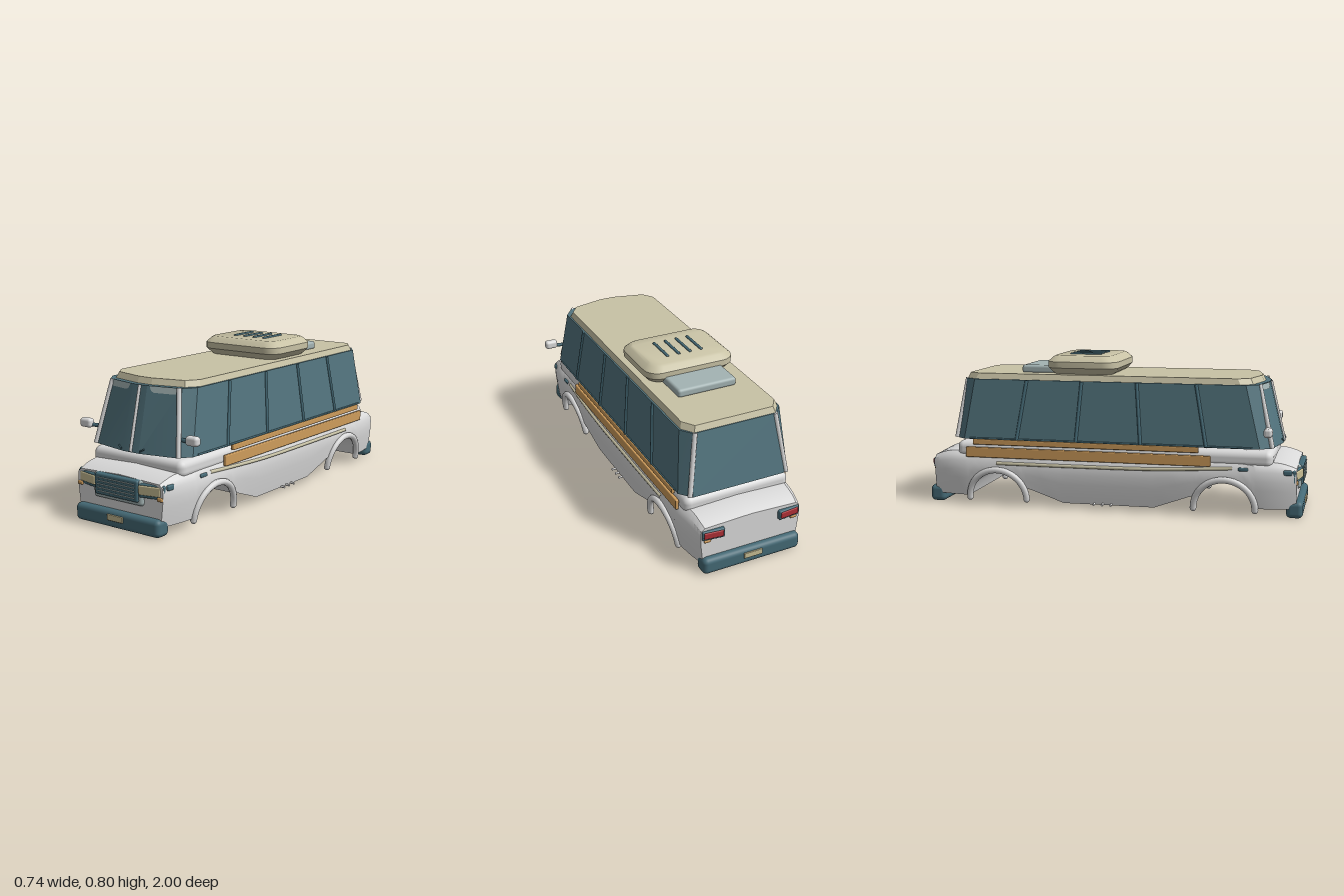
import * as THREE from 'three';
import { toCreasedNormals } from 'three/addons/utils/BufferGeometryUtils.js';
import { RoundedBoxGeometry } from 'three/addons/geometries/RoundedBoxGeometry.js';

const material = (name, color, extra) => Object.assign(new THREE.MeshStandardMaterial({ color, ...extra }), { name });

// Skin a series of closed rings and cap both ends
function loft(rings, crease) {
  const n = rings[0].length, pos = rings.flat().flatMap(p => p.toArray()), tris = [];
  for (let r = 0; r < rings.length - 1; r++) for (let i = 0; i < n; i++) {
    const j = (i + 1) % n, a = r * n, b = a + n;
    tris.push([a + i, a + j, b + j], [a + i, b + j, b + i]);
  }
  const last = (rings.length - 1) * n;
  for (let i = 1; i < n - 1; i++) tris.push([0, i + 1, i], [last, last + i, last + i + 1]);
  // Turn all faces outward, judged by the sign of the enclosed volume
  const v = i => new THREE.Vector3(pos[i * 3], pos[i * 3 + 1], pos[i * 3 + 2]);
  const volume = tris.reduce((s, [a, b, c]) => s + v(a).dot(v(b).cross(v(c))), 0);
  if (volume < 0) tris.forEach(t => t.reverse());
  const g = new THREE.BufferGeometry();
  g.setAttribute('position', new THREE.Float32BufferAttribute(pos, 3));
  g.setIndex(tris.flat());
  return toCreasedNormals(g, crease);
}

// Cabin outline seen from above: bowed front, cut corners
function cabinRing(y, w, front, rear) {
  const k = w / 0.3;
  const half = [[0.05 * k, front], [0.25 * k, front - 0.04], [w, front - 0.1], [w, rear + 0.06], [0.25 * k, rear]];
  const all = [...half, ...half.map(([x, z]) => [-x, z]).reverse()];
  return all.map(([x, z]) => new THREE.Vector3(x, y, z));
}

function roundedRing(y, w, d, r, zc) {
  const pts = [];
  for (let q = 0; q < 4; q++) for (let i = 0; i <= 5; i++) {
    const a = (q + i / 5) * Math.PI / 2;
    const sx = q === 0 || q === 3 ? 1 : -1, sz = q < 2 ? 1 : -1;
    pts.push(new THREE.Vector3(sx * (w - r) + r * Math.cos(a), y, zc + sz * (d - r) + r * Math.sin(a)));
  }
  return pts;
}

// Depth of the windscreen at a given x and y
function screenZ(x, y) {
  const t = (y - 0.355) / 0.315;
  return 0.877 - 0.077 * t - 0.04 * Math.max(0, Math.abs(x) / (1 - 0.1 * t) - 0.05) / 0.2;
}

// Body shell: bottom height and top height along the length
function bottomY(z) {
  const a = Math.abs(z), d = a - 0.6;
  const arch = Math.abs(d) < 0.155 ? 0.04 + Math.sqrt(0.155 ** 2 - d * d) : 0;
  const base = a < 0.24 ? 0.03 : a < 0.6 ? 0.03 + 0.07 * Math.min(1, (a - 0.24) / 0.19) : 0.05;
  return Math.max(base, arch);
}
function topY(z) {
  const a = Math.abs(z);
  return a < 0.83 ? 0.285 : 0.285 - 0.03 * ((a - 0.83) / 0.13) ** 2;
}
function widthAt(y, z) {
  const knots = [[0.03, 0.282], [0.1, 0.294], [0.2, 0.306], [0.24, 0.3], [0.27, 0.288], [0.3, 0.265]];
  let i = 0;
  while (i < knots.length - 2 && y > knots[i + 1][0]) i++;
  const [y0, w0] = knots[i], [y1, w1] = knots[i + 1];
  const a = Math.max(0, (Math.abs(z) - 0.74) / 0.225);
  return (w0 + (w1 - w0) * (y - y0) / (y1 - y0)) * (1 - 0.12 * a * a);
}
function bodyRing(z) {
  const b = bottomY(z), t = topY(z);
  const right = [0, 0.2, 0.4, 0.6, 0.8, 0.92, 1].map(f => {
    const y = b + (t - b) * f;
    return [widthAt(y, z) - (f === 1 ? 0.012 : 0), y];
  });
  const ring = [[0, b], ...right, [0, t + 0.01], ...right.map(([x, y]) => [-x, y]).reverse()];
  return ring.map(([x, y]) => new THREE.Vector3(x, y, z));
}

export function createModel() {
  const model = new THREE.Group();
  model.name = 'camperVan';
  const white = material('white paint', 0xdadada);
  const glass = material('tinted glass', 0x53757f);
  const trim = material('dark teal trim', 0x456a76);
  const beige = material('beige roof', 0xc8c2a5);
  const cream = material('cream lamp', 0xc8bd94);
  const wood = material('orange trim', 0xcf9d5c);
  const red = material('red lamp', 0xae2f36);
  const pale = material('pale blue grey', 0xa3b3b3, { side: THREE.DoubleSide });

  const add = (name, geo, mat, x = 0, y = 0, z = 0) => {
    const m = new THREE.Mesh(geo, mat);
    m.name = name;
    m.position.set(x, y, z);
    model.add(m);
    return m;
  };
  const block = (name, mat, w, h, d, x, y, z, r = 0.006) =>
    add(name, new RoundedBoxGeometry(w, h, d, 3, Math.min(r, w / 2.01, h / 2.01, d / 2.01)), mat, x, y, z);
  const bar = (name, mat, a, b, r) => {
    const from = new THREE.Vector3(...a), dir = new THREE.Vector3(...b).sub(from);
    const m = add(name, new THREE.CylinderGeometry(r, r, dir.length(), 10), mat);
    m.position.copy(from).addScaledVector(dir, 0.5);
    m.quaternion.setFromUnitVectors(new THREE.Vector3(0, 1, 0), dir.normalize());
    return m;
  };

  // Lower body with wheel tunnels, and the belt above it
  const stations = [];
  for (let i = -48; i <= 48; i++) stations.push(i * 0.02);
  add('lowerBody', loft(stations.map(bodyRing), 0.6), white);
  block('beltLine', white, 0.57, 0.088, 1.67, 0, 0.297, 0.007, 0.035);

  // Cabin glass and roof
  add('cabinGlass', loft([cabinRing(0.355, 0.3, 0.877, -0.838), cabinRing(0.67, 0.27, 0.8, -0.785)], 0.2), glass);
  add('roof', loft([cabinRing(0.668, 0.262, 0.772, -0.782), cabinRing(0.7, 0.25, 0.757, -0.768)], 0.2), beige);

  // Roof unit with slats and rear hatch
  const unit = [[0.698, 0.035], [0.708, 0.022], [0.733, 0], [0.765, 0], [0.788, 0.024], [0.796, 0.038]];
  add('roofUnit', loft(unit.map(([y, inset]) => roundedRing(y, 0.241 - inset, 0.188 - inset, 0.075 - inset * 0.6, -0.16)), 0.7), beige);
  for (let i = 0; i < 4; i++) block('roofSlat', trim, 0.015, 0.014, 0.17, -0.094 + i * 0.0627, 0.797, -0.165);
  block('roofHatch', pale, 0.32, 0.045, 0.24, 0, 0.717, -0.38, 0.015);

  // Windscreen divider
  bar('centrePillar', white, [0, 0.358, 0.878], [0, 0.67, 0.802], 0.008);

  for (const s of [1, -1]) {
    // Corner pillars
    bar('frontPillar', white, [s * 0.262, 0.357, screenZ(0.25, 0.357)], [s * 0.21, 0.67, screenZ(0.21, 0.67)], 0.012);
    bar('rearPillar', white, [s * 0.262, 0.357, -0.832], [s * 0.215, 0.67, -0.782], 0.012);

    // Side window dividers and sill
    for (const [z0, z1] of [[0.507, 0.45], [0.17, 0.145], [-0.17, -0.145], [-0.49, -0.44]])
      bar('windowDivider', trim, [s * 0.3, 0.357, z0], [s * 0.27, 0.668, z1], 0.009);
    bar('windowSill', trim, [s * 0.299, 0.359, 0.74], [s * 0.299, 0.359, -0.75], 0.005);

    // Sun visor band and wiper laid on the windscreen
    const band = new THREE.Shape([[0.013, 0.669], [0.205, 0.669], [0.198, 0.64], [0.085, 0.64], [0.07, 0.649], [0.06, 0.669]]
      .slice(1).map(([x, y]) => new THREE.Vector2(s * x, y)));
    const visor = new THREE.ShapeGeometry(band), p = visor.attributes.position;
    for (let i = 0; i < p.count; i++) p.setZ(i, screenZ(p.getX(i), p.getY(i)) + 0.003);
    visor.computeVertexNormals();
    add('sunVisorBand', visor, pale);
    bar('wiper', trim, [s * 0.057, 0.366, 0.878], [s * 0.08, 0.378, 0.87], 0.004);

    // Mirrors
    bar('mirrorArm', trim, [s * 0.24, 0.437, 0.8], [s * 0.315, 0.437, 0.815], 0.01);
    block('mirror', white, 0.07, 0.046, 0.042, s * 0.335, 0.446, 0.82, 0.015);

    // Side trim
    block('upperSideTrim', wood, 0.018, 0.029, 1.2, s * 0.299, 0.341, -0.13, 0.005);
    block('lowerSideTrim', wood, 0.018, 0.054, 1.3, s * 0.297, 0.285, -0.12, 0.005);
    const run = [[0.292, 0.252, 0.64], [0.299, 0.243, 0.45], [0.303, 0.233, 0.2], [0.303, 0.23, -0.2], [0.302, 0.23, -0.6]];
    const path = new THREE.CatmullRomCurve3(run.map(([x, y, z]) => new THREE.Vector3(s * x, y, z)));
    add('sideMoulding', new THREE.TubeGeometry(path, 40, 0.009, 8), beige);
    block('sideMarker', trim, 0.014, 0.018, 0.05, s * 0.296, 0.25, 0.695);
    block('cornerMarker', trim, 0.02, 0.028, 0.045, s * 0.275, 0.237, 0.915, 0.009);
    for (let i = 0; i < 3; i++) bar('sillStud', white, [s * 0.27, 0.035, 0.015 - i * 0.045], [s * 0.305, 0.033, 0.015 - i * 0.045], 0.006);

    // Wheel arch lips, leaning out with the body side
    for (const z of [0.6, -0.6]) {
      const lip = new THREE.TorusGeometry(0.157, 0.017, 10, 28, Math.PI).rotateY(Math.PI / 2);
      add('wheelArchLip', lip, white, s * 0.284, 0.04, z).rotation.z = -s * 0.17;
      for (const e of [1, -1]) add('archLipEnd', new THREE.SphereGeometry(0.017, 10, 8), white, s * 0.284, 0.04, z + e * 0.157);
    }

    // Headlamps and indicators, swept back at the corners
    block('headlampSurround', trim, 0.14, 0.068, 0.05, s * 0.2, 0.215, 0.943, 0.008).rotation.y = s * 0.2;
    block('headlamp', cream, 0.118, 0.046, 0.04, s * 0.193, 0.218, 0.955, 0.006).rotation.y = s * 0.2;
    block('frontIndicator', wood, 0.033, 0.019, 0.03, s * 0.252, 0.184, 0.953);

    // Tail lamps
    block('tailLampSurround', trim, 0.115, 0.05, 0.035, s * 0.205, 0.215, -0.957, 0.007).rotation.y = -s * 0.1;
    block('tailLamp', red, 0.1, 0.034, 0.03, s * 0.205, 0.217, -0.965, 0.005).rotation.y = -s * 0.1;
    block('rearIndicator', wood, 0.035, 0.016, 0.02, s * 0.235, 0.182, -0.96);
  }

  // Grille
  block('grilleFrame', pale, 0.31, 0.125, 0.04, 0, 0.197, 0.957, 0.018);
  block('grille', trim, 0.272, 0.106, 0.04, 0, 0.207, 0.967, 0.01);
  for (let i = 0; i < 5; i++) block('grilleSlat', pale, 0.235, 0.005, 0.008, 0, 0.173 + i * 0.0167, 0.987, 0.002);

  // Bumpers and plates
  for (const s of [1, -1]) {
    block('bumper', trim, 0.53, 0.087, 0.085, 0, 0.046, s * 0.951, 0.025);
    block('numberPlate', cream, 0.1, 0.03, 0.009, 0, 0.056, s * 0.9955, 0.003);
  }
  return model;
}
